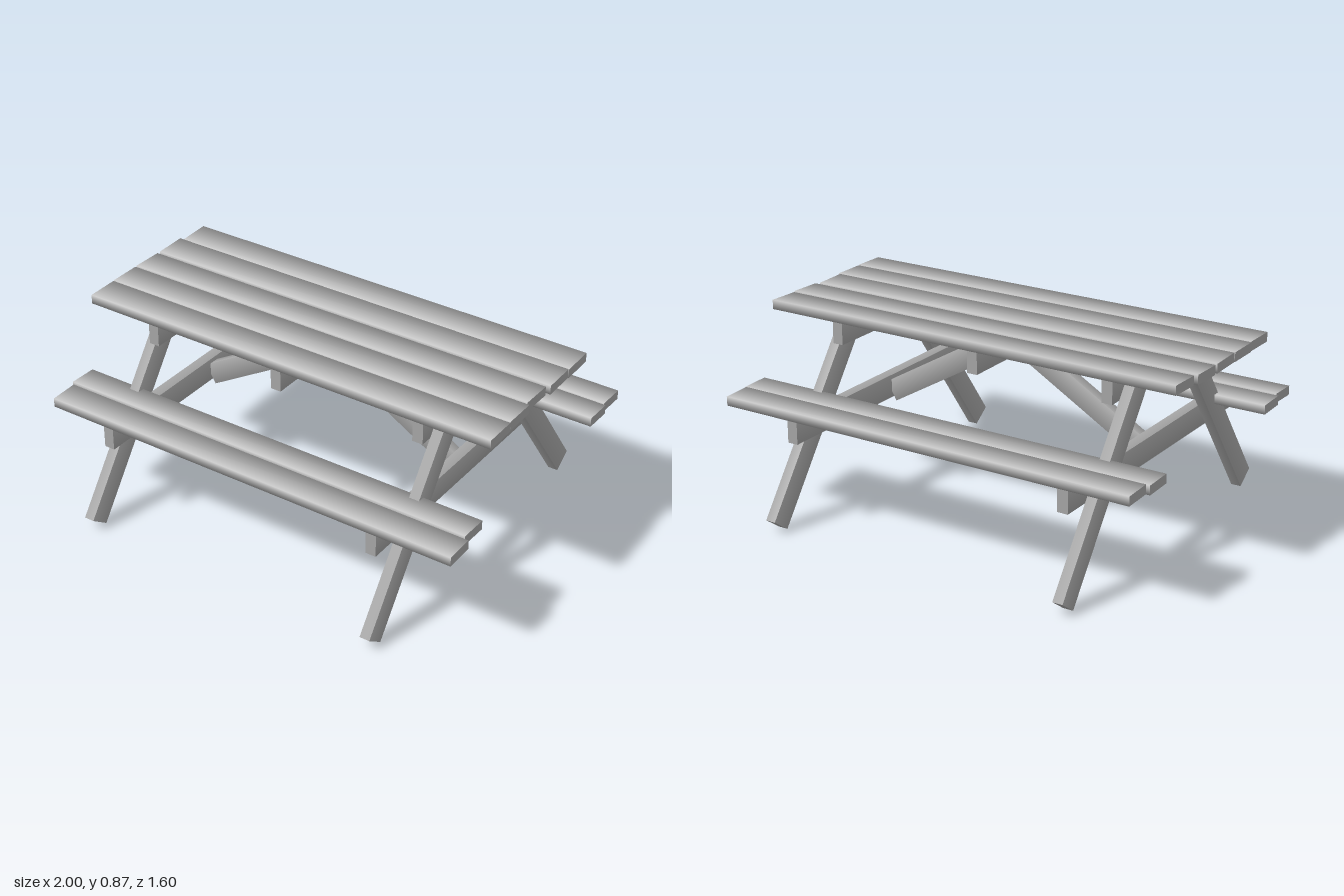
import * as THREE from 'three';

const wood = new THREE.MeshStandardMaterial({ color: 0xa6a6a6 });
wood.name = 'grey wood';

// Box along x whose long edges are softened by leaning the normals; the cut ends stay flat
function timber(length, height, width, softness) {
  const g = new THREE.BoxGeometry(length, height, width);
  const p = g.attributes.position, n = g.attributes.normal;
  const v = new THREE.Vector3();
  for (let i = 0; i < p.count; i++) {
    v.fromBufferAttribute(n, i);
    if (Math.abs(v.x) > 0.5) continue;
    if (Math.abs(v.y) > 0.5) v.z = softness * Math.sign(p.getZ(i));
    else v.y = softness * Math.sign(p.getY(i));
    v.normalize();
    n.setXYZ(i, v.x, v.y, v.z);
  }
  return g;
}

// Timber running from one end centre to the other
function bar(name, from, to, height, width, softness = 0.4, roll = 0) {
  const a = new THREE.Vector3(...from), b = new THREE.Vector3(...to);
  const dir = b.clone().sub(a);
  const length = dir.length();
  dir.normalize();
  const side = new THREE.Vector3().crossVectors(dir, new THREE.Vector3(0, 1, 0)).normalize();
  const up = new THREE.Vector3().crossVectors(side, dir);
  const mesh = new THREE.Mesh(timber(length, height, width, softness), wood);
  mesh.quaternion.setFromRotationMatrix(new THREE.Matrix4().makeBasis(dir, up, side));
  mesh.rotateX(roll);
  mesh.position.copy(a).add(b).multiplyScalar(0.5);
  mesh.name = name;
  return mesh;
}

export function createModel() {
  const table = new THREE.Group();
  table.name = 'picnicTable';

  // Planks, slightly uneven: left end x, right end x, centre z, roll
  const topPlanks = [
    [-0.985, 0.963, -0.313, 0.03],
    [-1.0, 0.963, -0.163, 0.025],
    [-1.0, 0.95, -0.001, -0.02],
    [-1.0, 0.963, 0.152, 0],
    [-0.997, 0.966, 0.304, 0.01],
  ];
  const seatPlanks = [
    [-0.97, 0.972, -0.637, -0.025],
    [-0.985, 0.982, -0.505, -0.025],
    [-0.98, 0.973, 0.49, -0.025],
    [-0.963, 0.997, 0.632, 0.025],
  ];
  for (const [x0, x1, z, roll] of topPlanks)
    table.add(bar('topPlank', [x0, 0.85, z], [x1, 0.85, z], 0.041, 0.145, 1, roll));
  for (const [x0, x1, z, roll] of seatPlanks)
    table.add(bar('seatPlank', [x0, 0.511, z], [x1, 0.511, z], 0.041, 0.128, 1, roll));

  // Cross beams under the top and the seats
  for (const x of [-0.674, -0.045, 0.634])
    table.add(bar('topBeam', [x, 0.779, 0.365], [x, 0.779, -0.365], 0.102, 0.048));
  for (const x of [-0.674, 0.634])
    table.add(bar('seatBeam', [x, 0.438, 0.69], [x, 0.438, -0.69], 0.104, 0.048));

  // Splayed legs on the outer faces of the beams
  for (const x of [-0.722, 0.682])
    for (const s of [1, -1])
      table.add(bar('leg', [x, 0.033, s * 0.76], [x, 0.819, s * 0.185], 0.099, 0.046));

  // Diagonal braces meeting at the middle beam
  for (const s of [1, -1])
    table.add(bar('brace', [-0.02 + s * 0.025, 0.767, 0], [-0.02 + s * 0.63, 0.415, 0], 0.094, 0.046));

  return table;
}
